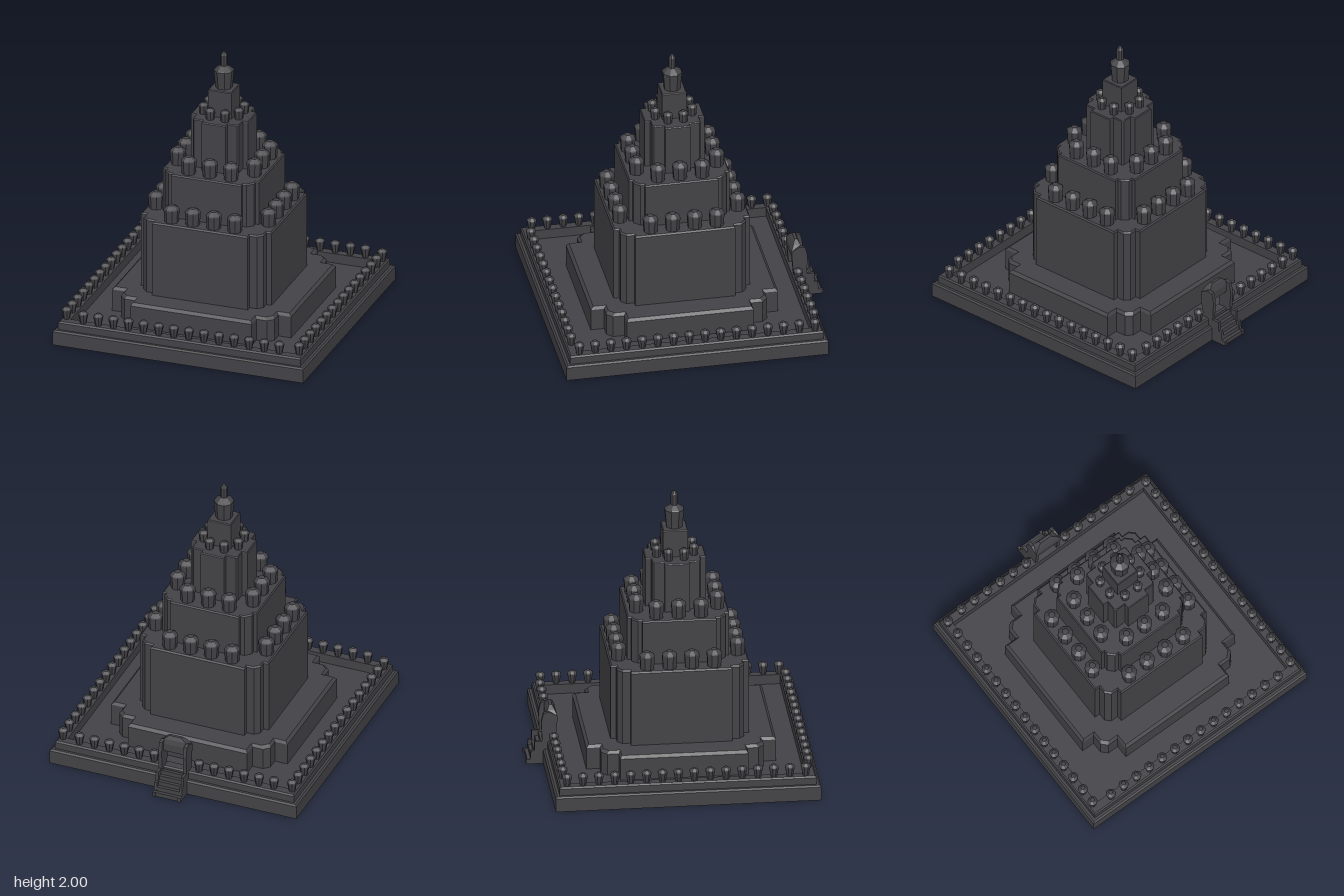
import * as THREE from 'three';

const stone = new THREE.MeshStandardMaterial({ color: 0x434246, flatShading: true, side: THREE.DoubleSide });
stone.name = 'dark stone';

function add(parent, name, geo, x = 0, y = 0, z = 0) {
  const m = new THREE.Mesh(geo, stone);
  m.name = name;
  m.position.set(x, y, z);
  parent.add(m);
  return m;
}

// Plans: counter-clockwise [x, y] outlines
const rect = (x, back, front) => [[x, back], [x, front], [-x, front], [-x, back]];
const square = h => rect(h, -h, h);
function steppedPlan(h, arm, mid, cut) {
  let q = [[h, arm], [mid, arm], [mid, mid - cut], [mid - cut, mid], [arm, mid], [arm, h]];
  const out = [];
  for (let i = 0; i < 4; i++) {
    out.push(...q);
    q = q.map(([x, y]) => [-y, x]);
  }
  return out;
}
const scaled = (plan, s) => plan.map(([x, y]) => [x * s, y * s]);
const toShape = plan => new THREE.Shape(plan.map(p => new THREE.Vector2(...p)));

// Open wall through a stack of [plan, height] rings
function loft(rings) {
  const pos = [];
  for (let r = 0; r + 1 < rings.length; r++) {
    const [pa, ya] = rings[r], [pb, yb] = rings[r + 1];
    const n = pa.length;
    for (let i = 0; i < n; i++) {
      const j = (i + 1) % n;
      const a = [pa[i][0], ya, -pa[i][1]], b = [pa[j][0], ya, -pa[j][1]];
      const c = [pb[j][0], yb, -pb[j][1]], d = [pb[i][0], yb, -pb[i][1]];
      pos.push(...a, ...b, ...c, ...a, ...c, ...d);
    }
  }
  const g = new THREE.BufferGeometry();
  g.setAttribute('position', new THREE.Float32BufferAttribute(pos, 3));
  g.computeVertexNormals();
  return g;
}

// Flat terrace with an opening under the next storey
function terrace(plan, hole) {
  const s = toShape(plan);
  if (hole) s.holes.push(toShape(hole));
  return new THREE.ShapeGeometry(s).rotateX(-Math.PI / 2);
}

// Eight-sided turned form
const turned = pts => new THREE.LatheGeometry(pts.map(p => new THREE.Vector2(...p)), 8, Math.PI / 8);

function urnGeometry(r, h, foot) {
  return turned([[r * foot, 0], [r, h * 0.76], [r * 0.94, h * 0.82], [r * 0.4, h], [0, h]]);
}

// Same urns along all four sides
function urnRing(parent, name, geo, offset, along, y) {
  for (let s = 0; s < 4; s++) {
    const a = s * Math.PI / 2;
    for (const t of along) {
      add(parent, name, geo, offset * Math.sin(a) + t * Math.cos(a), y, offset * Math.cos(a) - t * Math.sin(a));
    }
  }
}

// Profile in (-z, y), extruded across x
function sideExtrude(pts, x0, width) {
  return new THREE.ExtrudeGeometry(toShape(pts), { depth: width, bevelEnabled: false })
    .rotateY(Math.PI / 2).translate(x0, 0, 0);
}

export function createModel() {
  const model = new THREE.Group();
  model.name = 'temple';
  const tower = new THREE.Group();
  tower.name = 'tower';
  tower.position.z = 0.06;
  model.add(tower);

  // Storeys: plan, bottom, top, bevel
  const floorY = 0.1;
  const storeys = [
    ['lowerPlinth', steppedPlan(0.665, 0.45, 0.57, 0.04), floorY, 0.28, 0.02],
    ['mainStorey', steppedPlan(0.485, 0.355, 0.445, 0.035), 0.28, 0.837, 0.01],
    ['secondStorey', steppedPlan(0.357, 0.26, 0.33, 0.04), 0.837, 1.163, 0.008],
    ['thirdStorey', steppedPlan(0.212, 0.088, 0.172, 0.012), 1.163, 1.527, 0.006],
    ['spirePedestal', square(0.087), 1.527, 1.727, 0.005],
  ];
  storeys.forEach(([name, plan, y0, y1, b], i) => {
    const half = Math.max(...plan.map(p => p[0]));
    const top = scaled(plan, (half - b) / half);
    add(tower, name, loft([[plan, y0], [plan, y1 - b], [top, y1]]));
    add(tower, name + 'Top', terrace(top, storeys[i + 1]?.[1]), 0, y1);
  });

  // Walled base platform around a sunken courtyard, open underneath
  const profile = [[0.93, 0], [0.93, 0.1], [0.918, 0.11], [0.9, 0.11], [0.9, 0.16],
    [0.89, 0.17], [0.832, 0.17], [0.832, floorY]];
  add(tower, 'basePlatform', loft(profile.map(([h, y]) => [square(h), y])));
  add(tower, 'courtyardFloor', terrace(square(0.832), storeys[0][1]), 0, floorY);

  // Urns on the terraces
  urnRing(tower, 'mainUrn', urnGeometry(0.056, 0.125, 0.89), 0.418, [-0.235, -0.078, 0.078, 0.235], 0.837);
  urnRing(tower, 'secondUrn', urnGeometry(0.056, 0.127, 0.87), 0.284, [-0.157, 0, 0.157], 1.163);
  urnRing(tower, 'thirdUrn', urnGeometry(0.035, 0.083, 0.83), 0.131, [-0.055, 0.055], 1.527);

  // Urns on the outer wall, leaving a gap for the gate
  const wallUrn = urnGeometry(0.036, 0.09, 0.6);
  for (let i = 0; i < 16; i++) {
    for (const side of [-1, 1]) add(tower, 'wallUrn', wallUrn, side * 0.863, 0.17, -0.845 + i * 0.1115);
  }
  for (let i = 0; i < 14; i++) {
    const x = -0.728 + i * 0.112;
    add(tower, 'wallUrn', wallUrn, x, 0.17, 0.86);
    if (Math.abs(x) > 0.12) add(tower, 'wallUrn', wallUrn, x * 1.007, 0.17, -0.862);
  }

  // Spire
  add(tower, 'spireUrn', turned([[0.06, 0], [0.072, 0.13], [0.066, 0.138], [0.026, 0.165]]), 0, 1.727);
  add(tower, 'spireTip', turned([[0.026, 0], [0.026, 0.09], [0.012, 0.115], [0, 0.12]]), 0, 1.88);

  // Gate at the back: side walls, tapering roof, lintel
  const gate = new THREE.Group();
  gate.name = 'gate';
  model.add(gate);
  const wall = [[0.785, 0.15], [0.875, 0.15], [0.883, 0.31], [0.868, 0.38], [0.83, 0.39], [0.77, 0.36], [0.77, 0.32]];
  for (const x0 of [-0.105, 0.08]) add(gate, 'gateWall', sideExtrude(wall, x0, 0.025));
  const roofTop = rect(0.045, 0.802, 0.822);
  add(gate, 'gateRoof', loft([
    [rect(0.105, 0.77, 0.845), 0.31], [rect(0.105, 0.77, 0.845), 0.36],
    [rect(0.08, 0.785, 0.835), 0.395], [roofTop, 0.422]]));
  add(gate, 'gateRoofTop', terrace(roofTop), 0, 0.422);
  add(gate, 'gateLintel', new THREE.BoxGeometry(0.17, 0.03, 0.07), 0, 0.315, -0.808);

  // Stairs with stepped rails
  const rail = [[0.84, 0], [0.99, 0], [0.99, 0.035], [0.96, 0.035], [0.955, 0.1], [0.93, 0.1], [0.93, 0.17], [0.84, 0.17]];
  for (const x0 of [-0.105, 0.085]) add(gate, 'stairRail', sideExtrude(rail, x0, 0.02));
  const steps = [[0.86, 0]];
  for (let i = 0; i < 5; i++) {
    const d = 0.98 - i * 0.024;
    steps.push([d, i * 0.032], [d, (i + 1) * 0.032]);
  }
  steps.push([0.86, 0.16]);
  add(gate, 'stairs', sideExtrude(steps, -0.085, 0.17));

  return model;
}
